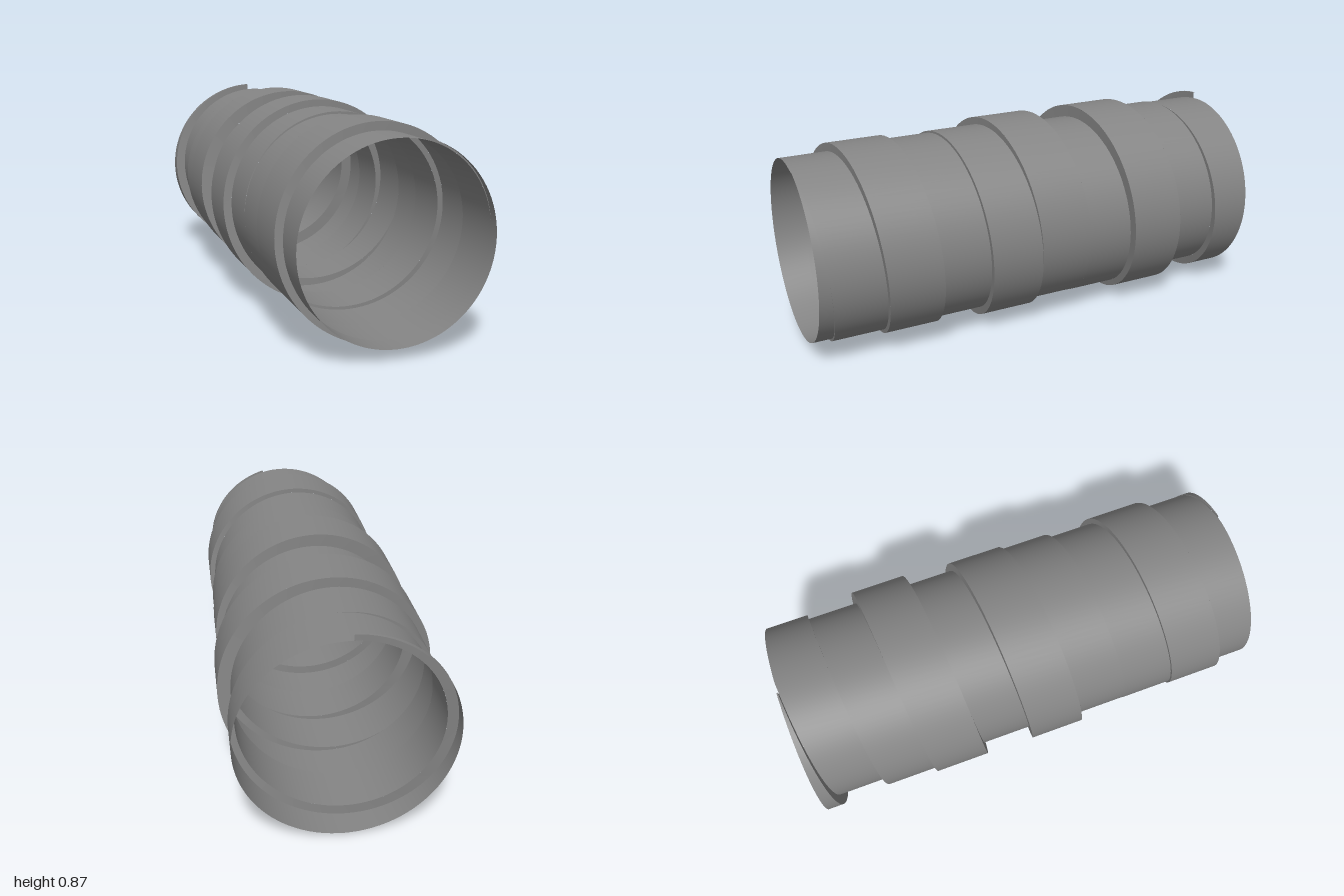
import * as THREE from 'three';

// Radius of the wound strip at every quarter turn, starting two turns before t = 0
const FIRST_TURN = -2;
const RADII = [
  0.395, 0.389, 0.384, 0.382,
  0.385, 0.39, 0.40, 0.414,
  0.42, 0.42, 0.409, 0.405,
  0.40, 0.396, 0.396, 0.405,
  0.41, 0.417, 0.433, 0.44,
  0.44, 0.422, 0.40, 0.386,
  0.389, 0.398, 0.416, 0.439,
  0.44, 0.44, 0.433, 0.416,
  0.40, 0.388, 0.382, 0.39,
  0.40, 0.412, 0.421, 0.433, 0.427,
];
const PITCH = 0.2235, START_Z = 0.786, AXIS_Y = 0.435, SEGMENTS = 96;

// Smooth interpolation through the radius samples
function radius(t) {
  const last = RADII.length - 1;
  const u = THREE.MathUtils.clamp((t - FIRST_TURN) * 4, 0, last);
  const i = Math.min(Math.floor(u), last - 1), f = u - i;
  const at = (k) => RADII[THREE.MathUtils.clamp(k, 0, last)];
  const m0 = (at(i + 1) - at(i - 1)) / 2, m1 = (at(i + 2) - at(i)) / 2;
  const f2 = f * f, f3 = f2 * f;
  return at(i) * (2 * f3 - 3 * f2 + 1) + m0 * (f3 - 2 * f2 + f)
    + at(i + 1) * (3 * f2 - 2 * f3) + m1 * (f3 - f2);
}

// Front edge of the strip; the higher turn overlaps its lower neighbour a little
function edgeZ(t) {
  const overlap = (radius(t) - radius(t - 1)) * 0.2;
  const z = START_Z - PITCH * t + THREE.MathUtils.clamp(overlap, -0.005, 0.005);
  return THREE.MathUtils.clamp(z, -1, 1);
}

// Point on the tube: t = 0 is the top, a quarter turn later is +x
function point(t, r, z) {
  const a = t * Math.PI * 2;
  return [Math.sin(a) * r, AXIS_Y + Math.cos(a) * r, z];
}

// Ribbon surface between two edge curves
function ribbon(name, t0, t1, edgeA, edgeB, material) {
  const count = Math.ceil((t1 - t0) * SEGMENTS);
  const positions = [], indices = [];
  for (let i = 0; i <= count; i++) {
    const t = t0 + (t1 - t0) * i / count;
    positions.push(...edgeA(t), ...edgeB(t));
    if (i < count) {
      const k = i * 2;
      indices.push(k, k + 1, k + 2, k + 2, k + 1, k + 3);
    }
  }
  const geometry = new THREE.BufferGeometry();
  geometry.setAttribute('position', new THREE.Float32BufferAttribute(positions, 3));
  geometry.setIndex(indices);
  geometry.computeVertexNormals();
  const mesh = new THREE.Mesh(geometry, material);
  mesh.name = name;
  return mesh;
}

export function createModel() {
  const group = new THREE.Group();
  group.name = 'spiralWoundTube';
  const material = new THREE.MeshStandardMaterial({ color: 0x858585, side: THREE.DoubleSide });

  // Turns at which the strip edge crosses the two open ends
  const enter = (START_Z - 1) / PITCH, leave = (START_Z + 1) / PITCH;

  // Strip wound along the whole tube, trimmed square at both ends
  group.add(ribbon('woundStrip', enter - 1, leave,
    (t) => point(t, radius(t), edgeZ(t + 1)),
    (t) => point(t, radius(t), edgeZ(t)), material));

  // Helical step joining each turn to the one before it
  group.add(ribbon('helicalStep', enter, leave,
    (t) => point(t, radius(t), edgeZ(t)),
    (t) => point(t, radius(t - 1), edgeZ(t)), material));

  return group;
}
